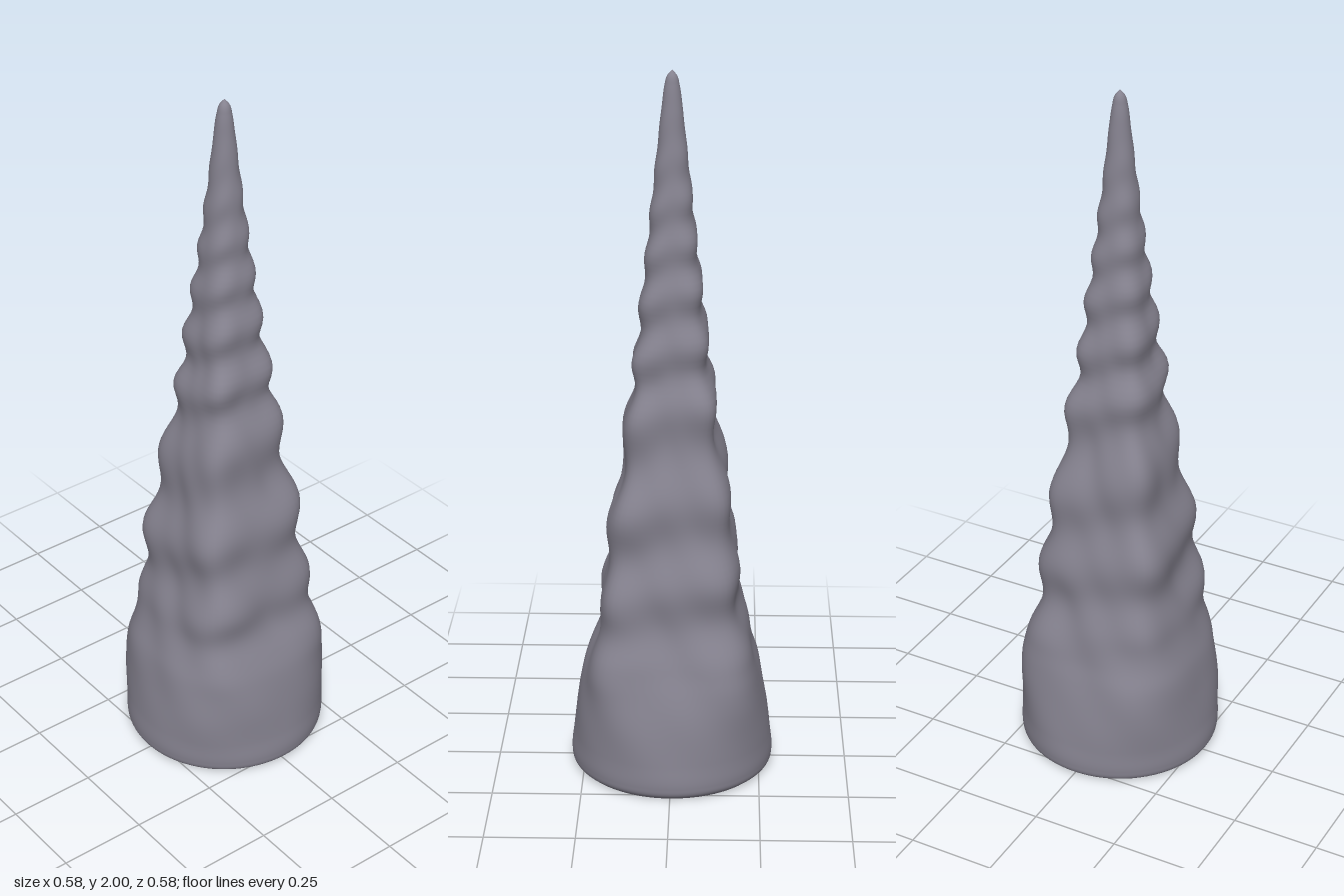
import * as THREE from 'three';

const SIDES = 80, RINGS = 200;
const TAU = Math.PI * 2;

// Smooth curve through [height, value] pairs
function curve(pairs) {
  const c = new THREE.CubicInterpolant(pairs.map(p => p[0]), pairs.map(p => p[1]), 1);
  return y => c.evaluate(y)[0];
}

const halfWidth = curve([[0, 0.27], [0.012, 0.283], [0.035, 0.288], [0.1, 0.282], [0.2, 0.268], [0.3, 0.247],
  [0.36, 0.228], [0.43, 0.207], [0.52, 0.193], [0.62, 0.182], [0.8, 0.159], [0.95, 0.134], [1.08, 0.117],
  [1.25, 0.096], [1.4, 0.081], [1.55, 0.065], [1.68, 0.052], [1.8, 0.039], [1.9, 0.028], [1.96, 0.02],
  [1.985, 0.013], [2, 0]]);
const squareness = curve([[0, 2], [0.08, 2.1], [0.25, 2.9], [0.42, 4.4], [0.8, 5.2], [1.1, 4.6], [1.4, 3.2], [1.7, 2.2], [2, 2]]);
const ridgeHeight = curve([[0, 0], [0.3, 0.001], [0.45, 0.008], [0.6, 0.011], [1.1, 0.0125], [1.4, 0.008], [1.65, 0.004], [1.82, 0.001], [2, 0]]);
// Number of turns of the spiral ridge reached at each height
const turns = curve([[0, -2.6], [0.36, -1], [0.58, 0], [0.82, 1], [1.08, 2], [1.25, 3], [1.4, 4], [1.53, 5], [1.65, 6], [1.77, 7], [2, 9]]);

// Radius of the horn in direction a (0 = front, rising towards +x)
function radius(a, y) {
  const n = squareness(y);
  const s = Math.abs(Math.sin(a)), c = Math.abs(Math.cos(a));
  const corner = Math.sin(2 * a) ** 2;
  const wave = Math.cos(TAU * (turns(y) - (a - Math.PI / 2) / TAU) + 0.35 * Math.sin(3 * a));
  const ridge = ridgeHeight(y) * (0.65 + 0.45 * corner) * wave;
  const body = Math.min(1, y * 2) * Math.max(0, 1.5 - y) * 0.0035;
  const lumps = body * (Math.sin(5 * a + 9 * y) + Math.sin(3 * a - 17 * y) + 0.6 * Math.sin(9 * a + 23 * y));
  return Math.max(0, halfWidth(y) / (s ** n + c ** n) ** (1 / n) + ridge + lumps * Math.min(1, (2 - y) * 4));
}

// Closed rings of points joined by quads; at(i, a) gives [radius, height]
function skin(rows, at) {
  const pos = [], index = [];
  for (let i = 0; i <= rows; i++) {
    for (let j = 0; j < SIDES; j++) {
      const a = j / SIDES * TAU;
      const [r, y] = at(i, a);
      pos.push(r * Math.sin(a), y, r * Math.cos(a));
      if (i === rows) continue;
      const k = i * SIDES + j, m = i * SIDES + (j + 1) % SIDES;
      index.push(k, m, k + SIDES, m, m + SIDES, k + SIDES);
    }
  }
  const geo = new THREE.BufferGeometry();
  geo.setAttribute('position', new THREE.Float32BufferAttribute(pos, 3));
  geo.setIndex(index);
  geo.computeVertexNormals();
  return geo;
}

export function createModel() {
  const group = new THREE.Group();
  group.name = 'horn';
  const horn = new THREE.MeshStandardMaterial({ color: 0x85828f });
  horn.name = 'grey horn';

  // Ridged body, with rings packed closer at both ends
  const body = new THREE.Mesh(skin(RINGS, (i, a) => {
    const t = i / RINGS;
    const y = 2 * (t - 0.9 * Math.sin(TAU * t) / TAU);
    return [radius(a, y), y];
  }), horn);
  body.name = 'ridgedBody';

  // Slightly hollowed underside
  const steps = [[0, 0], [0.25, 0.015], [0.26, 0.004], [0.27, 0]];
  const under = new THREE.Mesh(skin(3, (i, a) => {
    const [r, y] = steps[i];
    return [i === 3 ? radius(a, 0) : r, y === 0 && i === 0 ? 0.015 : y];
  }), horn);
  // Rings run outwards, so turn the faces to look down
  const idx = under.geometry.index.array;
  for (let i = 0; i < idx.length; i += 3) [idx[i + 1], idx[i + 2]] = [idx[i + 2], idx[i + 1]];
  under.geometry.computeVertexNormals();
  if (under.geometry.attributes.normal.getY(SIDES) > 0) {
    for (let i = 0; i < idx.length; i += 3) [idx[i + 1], idx[i + 2]] = [idx[i + 2], idx[i + 1]];
    under.geometry.computeVertexNormals();
  }
  under.name = 'underside';

  group.add(body, under);
  return group;
}
